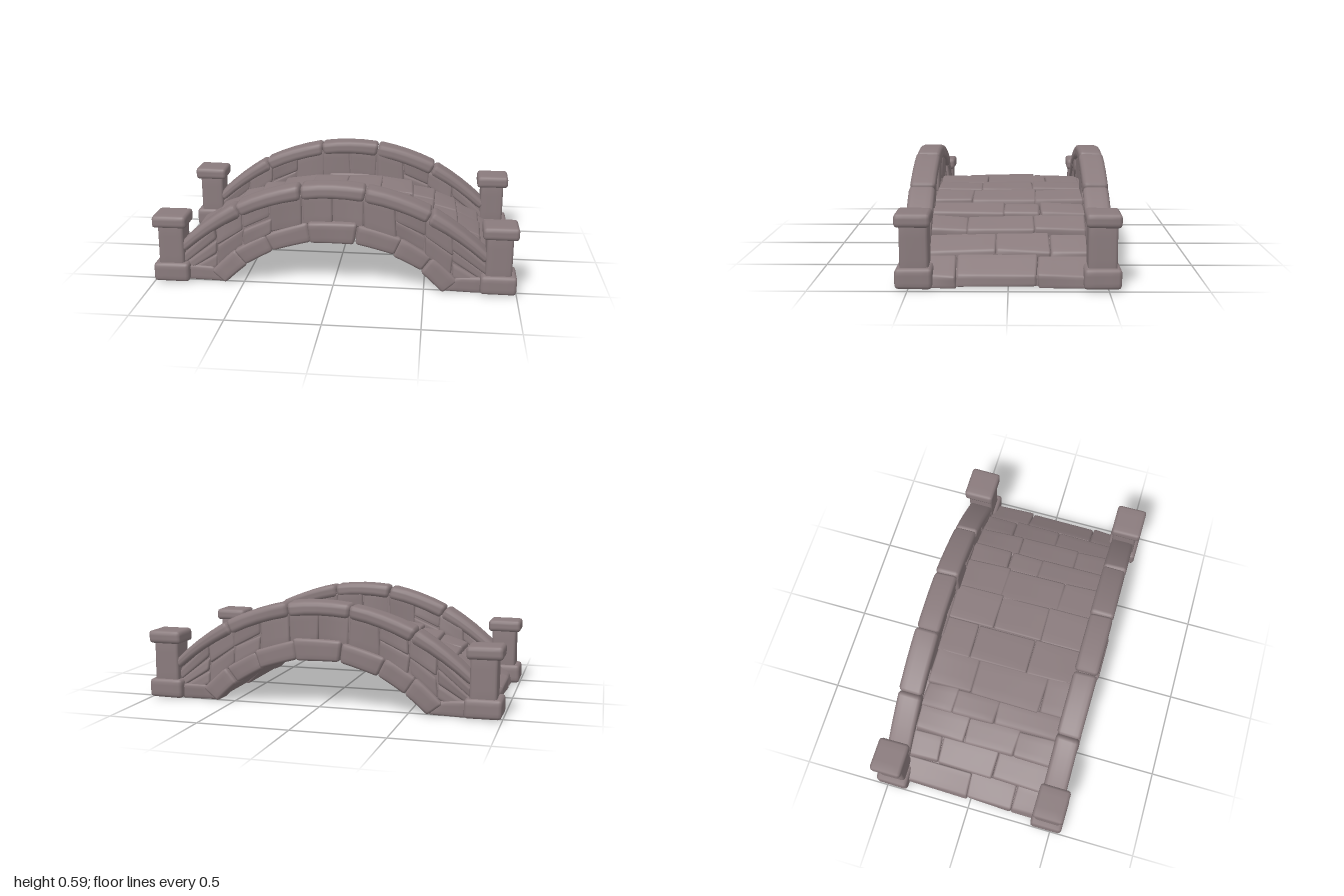
import * as THREE from 'three';
import { mergeVertices } from 'three/addons/utils/BufferGeometryUtils.js';

const stoneMaterial = new THREE.MeshStandardMaterial({ color: 0x8a7b7d });
stoneMaterial.name = 'warm grey stone';

// small seeded generator, -1..1
let seed = 7;
const rand = () => {
  seed = (seed * 16807) % 2147483647;
  return (seed / 2147483647) * 2 - 1;
};

const { lerp, clamp } = THREE.MathUtils;
const circleY = (R, cy, x) => cy + Math.sqrt(Math.max(0, R * R - x * x));

// the curves that shape the bridge
const ARCH_Y = -0.53;
const CAP_Y = -0.585;
const archTop = (x) => Math.max(0.005, circleY(0.9, ARCH_Y, x));
const capBottom = (x) => circleY(1.115, CAP_Y, x);
const deckTop = (x) => circleY(1.514, -1.127, x);
const polar = (R, cy, deg) => {
  const a = THREE.MathUtils.degToRad(deg);
  return [R * Math.sin(a), cy + R * Math.cos(a)];
};

// block with softened edges, centred; SEG divisions on each side
const SEG = 6;
function softBox(w, h, d, r) {
  let geo = new THREE.BoxGeometry(1, 1, 1, SEG, SEG, SEG);
  geo.deleteAttribute('normal');
  geo.deleteAttribute('uv');
  geo = mergeVertices(geo, 1e-5);
  const pos = geo.attributes.position;
  const p = new THREE.Vector3();
  const inner = new THREE.Vector3();
  const place = (t, size) => {
    const i = Math.round((t + 0.5) * SEG);
    if (i === 0 || i === SEG) return t * size;
    return lerp(-size / 2 + r, size / 2 - r, (i - 1) / (SEG - 2));
  };
  for (let i = 0; i < pos.count; i++) {
    p.set(place(pos.getX(i), w), place(pos.getY(i), h), place(pos.getZ(i), d));
    inner.set(
      clamp(p.x, -w / 2 + r, w / 2 - r),
      clamp(p.y, -h / 2 + r, h / 2 - r),
      clamp(p.z, -d / 2 + r, d / 2 - r));
    p.sub(inner).setLength(r).add(inner);
    pos.setXYZ(i, p.x, p.y, p.z);
  }
  return geo;
}

// stone filling the quad [bottom left, bottom right, top right, top left] from z0 to z1, bowed up by bend
function stone(name, quad, z0, z1, radius = 0.015, jitter = 0.006, bend = 0) {
  const [a, b, c, d] = quad;
  const dist = (p, q) => Math.hypot(p[0] - q[0], p[1] - q[1]);
  const w = (dist(a, b) + dist(c, d)) / 2;
  const h = (dist(a, d) + dist(b, c)) / 2;
  const depth = z1 - z0;
  const geo = softBox(w, h, depth, Math.min(radius, w * 0.4, h * 0.4, depth * 0.4));

  // eight slightly displaced corners, blended over the whole block
  const corners = [z0, z1].map((z) =>
    quad.map((p) => new THREE.Vector3(p[0] + rand() * jitter, p[1] + rand() * jitter, z + rand() * jitter)));
  const side = (k, u, v) => {
    const q = corners[k];
    return q[0].clone().lerp(q[1], u).lerp(q[3].clone().lerp(q[2], u), v);
  };
  const up = new THREE.Vector3(c[0] + d[0] - a[0] - b[0], c[1] + d[1] - a[1] - b[1], 0).normalize();
  const pos = geo.attributes.position;
  for (let i = 0; i < pos.count; i++) {
    const u = pos.getX(i) / w + 0.5;
    const v = pos.getY(i) / h + 0.5;
    const t = pos.getZ(i) / depth + 0.5;
    const p = side(0, u, v).lerp(side(1, u, v), t).addScaledVector(up, bend * 4 * u * (1 - u));
    pos.setXYZ(i, p.x, Math.max(0, p.y), p.z);
  }
  geo.computeVertexNormals();
  const mesh = new THREE.Mesh(geo, stoneMaterial);
  mesh.name = name;
  return mesh;
}

const mirrorX = ([a, b, c, d]) => [b, a, d, c].map(([x, y]) => [-x, y]);
const rect = (x0, x1, y0, y1) => [[x0, y0], [x1, y0], [x1, y1], [x0, y1]];

// ring segment between two angles
const wedge = (r0, r1, cy, a0, a1) =>
  [polar(r0, cy, a0), polar(r0, cy, a1), polar(r1, cy, a1), polar(r1, cy, a0)];

// solid filling with a curved top and the arch cut out below
function core(name, top, halfLength, z0, z1) {
  const shape = new THREE.Shape();
  const n = 24;
  const R = 0.825;
  const foot = Math.sqrt(R * R - (0.005 - ARCH_Y) ** 2);
  shape.moveTo(-halfLength, 0.005);
  for (let i = 0; i <= n; i++) {
    const x = lerp(-halfLength, halfLength, i / n);
    shape.lineTo(x, top(x));
  }
  shape.lineTo(halfLength, 0.005);
  for (let i = 0; i <= n; i++) {
    const x = lerp(foot, -foot, i / n);
    shape.lineTo(x, circleY(R, ARCH_Y, x));
  }
  const geo = new THREE.ExtrudeGeometry(shape, { depth: z1 - z0, bevelEnabled: false });
  geo.translate(0, 0, z0);
  const mesh = new THREE.Mesh(geo, stoneMaterial);
  mesh.name = name;
  return mesh;
}

const archAngles = [-49, -37, -24.5, -8.7, 8.7, 24.5, 37, 49];
const capAngles = [-47.5, -27.5, -8.9, 8.9, 27.5, 47.5];

function buildSide(sz) {
  const side = new THREE.Group();
  side.name = sz > 0 ? 'frontParapet' : 'backParapet';
  const add = (name, quad, z0, z1, ...shape) =>
    side.add(stone(name, quad, Math.min(z0 * sz, z1 * sz), Math.max(z0 * sz, z1 * sz), ...shape));

  side.add(core('wallCore', (x) => capBottom(x) + 0.01, 0.85, sz > 0 ? 0.42 : -0.495, sz > 0 ? 0.495 : -0.42));

  // arch ring
  for (let i = 0; i < archAngles.length - 1; i++) {
    const key = i === 3;
    add('archStone', wedge(0.797, key ? 0.916 : 0.905, ARCH_Y, archAngles[i], archAngles[i + 1]),
      0.4, key ? 0.538 : 0.526 + rand() * 0.008, 0.016, 0.006, 0.002);
  }

  // rounded coping along the top, thinner towards the posts
  for (let i = 0; i < capAngles.length - 1; i++) {
    const quad = wedge(1.094, 1.172, CAP_Y, capAngles[i] + 0.1, capAngles[i + 1] - 0.1);
    if (i === 0) quad[0] = polar(1.12, CAP_Y, capAngles[0]);
    if (i === capAngles.length - 2) quad[1] = polar(1.12, CAP_Y, capAngles[i + 1]);
    add('copingStone', quad, 0.396, 0.532, 0.02, 0.004, 0.013);
  }

  // wall courses between arch and coping
  const columns = [0, 0.17, 0.34, 0.5, 0.65, 0.84];
  const courses = [1, 1, 2, 2, 3];
  for (const sx of [-1, 1]) {
    for (let i = 0; i < courses.length; i++) {
      for (let k = 0; k < courses[i]; k++) {
        const at = (x, f) => [x, lerp(archTop(x) - 0.01, capBottom(x) + 0.005, f)];
        const f0 = k / courses[i];
        const f1 = (k + 1) / courses[i];
        const [x0, x1] = [columns[i], columns[i + 1]];
        const quad = [at(x0, f0), at(x1, f0), at(x1, f1), at(x0, f1)];
        add('wallStone', sx > 0 ? quad : mirrorX(quad), 0.41 + rand() * 0.008, 0.509 + rand() * 0.01, 0.012, 0.008);
      }
    }
    // foot stone beside the arch spring
    const foot = [[0.6, 0], [0.82, 0], [0.82, 0.09], [0.67, 0.085]];
    add('footStone', sx > 0 ? foot : mirrorX(foot), 0.39, 0.52, 0.015);

    // end post
    const post = (name, q, z0, z1, r) => add(name, sx > 0 ? q : mirrorX(q), z0, z1, r, 0.002);
    post('postBase', rect(0.802, 0.999, 0.006, 0.112), 0.377, 0.564, 0.018);
    post('postShaft', rect(0.829, 0.97, 0.09, 0.335), 0.396, 0.541, 0.014);
    post('postCap', rect(0.807, 0.997, 0.318, 0.387), 0.384, 0.561, 0.017);
  }
  return side;
}

function buildDeck() {
  const deck = new THREE.Group();
  deck.name = 'deck';
  deck.add(core('deckCore', (x) => deckTop(x) - 0.03, 0.92, -0.42, 0.42));

  // one row of slabs across the width, with uneven joints
  const row = (name, quad, cuts, radius, jitter) => {
    const z = [-0.41, ...cuts.map((c) => c + rand() * 0.07), 0.41];
    for (let i = 0; i < z.length - 1; i++) {
      const lift = rand() * 0.004;
      const q = quad.map(([x, y]) => [x, y + lift]);
      deck.add(stone(name, q, z[i], z[i + 1], radius, jitter));
    }
  };

  // stepped paving
  const edges = [0.21, 0.41, 0.54, 0.68, 0.82, 0.95];
  for (const sx of [-1, 1]) {
    for (let i = 0; i < edges.length - 1; i++) {
      const [x0, x1] = [edges[i], edges[i + 1]];
      const y0 = deckTop(x0) - 0.002;
      const y1 = deckTop(x1) + 0.016;
      const last = i === edges.length - 2;
      const quad = [[x0 - 0.01, last ? 0.004 : y0 - 0.08], [x1, last ? 0.004 : y1 - 0.08], [x1, y1], [x0 - 0.01, y0]];
      row('pavingSlab', sx > 0 ? quad : mirrorX(quad), i % 2 ? [-0.2, 0.05] : [-0.08, 0.2], 0.012, 0.009);
    }
  }
  row('crownSlab', rect(-0.215, 0, 0.31, 0.375), [-0.2, 0.2], 0.01, 0.005);
  row('crownSlab', rect(0, 0.215, 0.31, 0.375), [-0.18, 0.17], 0.01, 0.005);

  // stones lining the vault
  for (let i = 0; i < archAngles.length - 1; i++) {
    row('vaultStone', wedge(0.805, 0.85, ARCH_Y, archAngles[i], archAngles[i + 1]), i % 2 ? [-0.15, 0.15] : [0], 0.01, 0.005);
  }
  return deck;
}

export function createModel() {
  seed = 7;
  const bridge = new THREE.Group();
  bridge.name = 'stoneBridge';
  bridge.add(buildDeck(), buildSide(1), buildSide(-1));
  return bridge;
}
